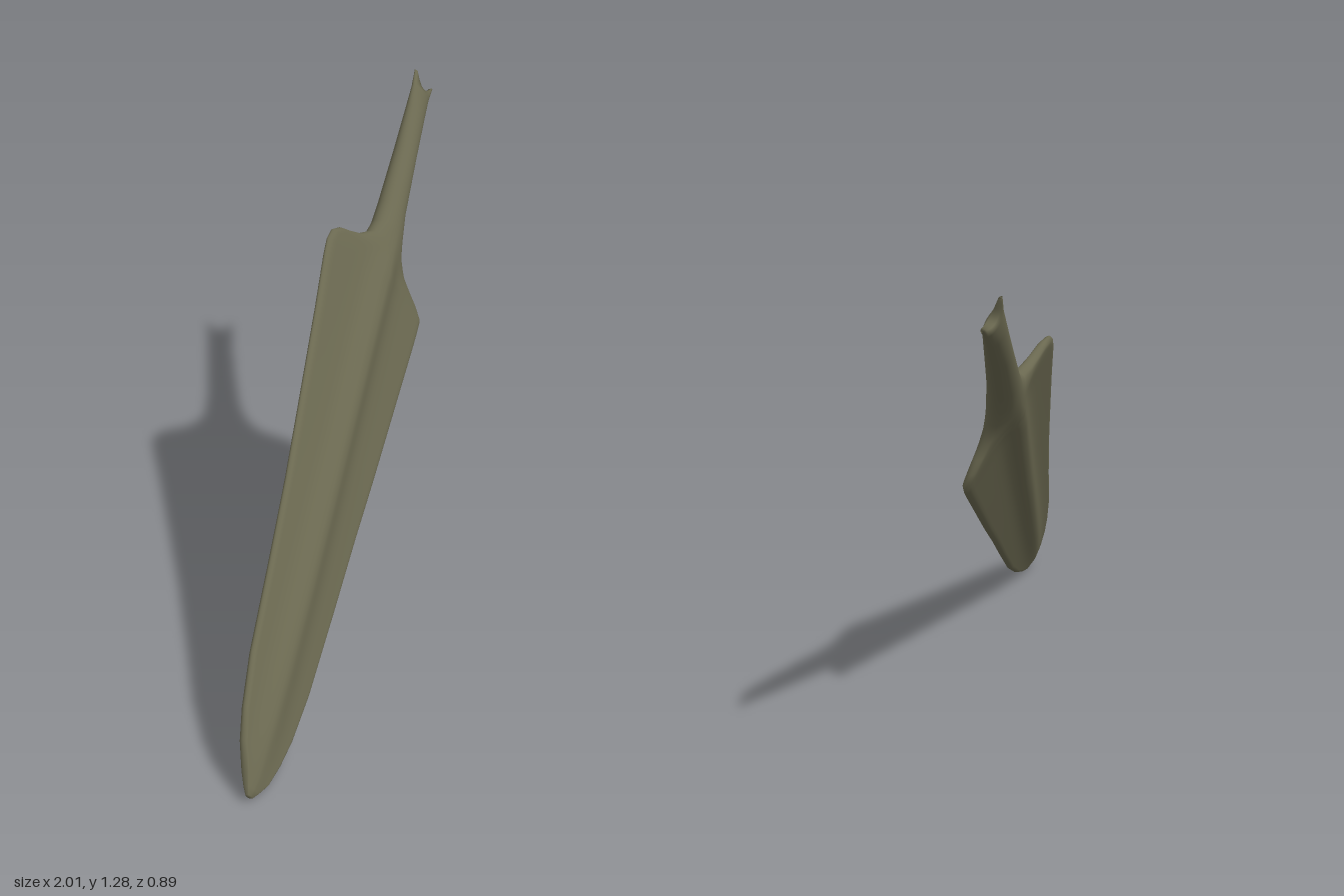
import * as THREE from 'three';

// Stations along the axis from the tip:
// [distance, upper half width, lower half width, half thickness, roundness (0 ribbed blade, 1 oval tang)]
const STATIONS = [
  [0, 0.010, 0.012, 0.008, 0.5],
  [0.02, 0.024, 0.030, 0.012, 0.3],
  [0.057, 0.044, 0.058, 0.017, 0],
  [0.125, 0.082, 0.088, 0.024, 0],
  [0.21, 0.108, 0.114, 0.030, 0],
  [0.36, 0.133, 0.140, 0.036, 0],
  [0.63, 0.151, 0.164, 0.041, 0],
  [0.88, 0.170, 0.184, 0.044, 0],
  [1.10, 0.193, 0.205, 0.046, 0],
  [1.43, 0.229, 0.232, 0.049, 0],
  [1.61, 0.252, 0.247, 0.051, 0],
  [1.66, 0.255, 0.250, 0.051, 0],
  [1.698, 0.246, 0.250, 0.051, 0.05],
  [1.726, 0.218, 0.212, 0.051, 0.1],
  [1.745, 0.175, 0.170, 0.050, 0.2],
  [1.768, 0.130, 0.124, 0.049, 0.4],
  [1.81, 0.084, 0.083, 0.047, 0.7],
  [1.87, 0.063, 0.061, 0.045, 1],
  [1.95, 0.055, 0.047, 0.042, 1],
  [2.17, 0.046, 0.038, 0.035, 1],
  [2.34, 0.045, 0.038, 0.026, 1],
  [2.42, 0.047, 0.041, 0.018, 1],
  [2.478, 0.055, 0.050, 0.010, 1],
];
const COLS = 32;
const EDGE = 0.011;

// Half thickness across a section, blending a ribbed blade into an oval
function thickness(u, w, ridge, round) {
  const rim = Math.sqrt(Math.max(0, 1 - u * u));
  const rib = 0.4 * (1 - Math.abs(u)) + 0.6 * Math.exp(-((w / 0.05) ** 2));
  const edge = Math.min(EDGE, ridge * 0.6);
  const blade = (edge + (ridge - edge) * rib) * Math.min(1, rim * 3);
  return THREE.MathUtils.lerp(blade, ridge * rim, round);
}

function spearGeometry() {
  const pos = [], index = [], ring = 2 * COLS, last = STATIONS.length - 1;
  STATIONS.forEach(([s, up, down, ridge, round], i) => {
    for (let j = 0; j < ring; j++) {
      const front = j <= COLS;
      const u = -Math.cos((Math.PI * (front ? j : ring - j)) / COLS);
      const w = (up - down) / 2 + (u * (up + down)) / 2;
      // broken notch between two prongs at the end of the tang
      const notch = i === last ? 0.042 * Math.max(0, 1 - (u / 0.85) ** 2) : 0;
      pos.push(s - notch, w, thickness(u, w, ridge, round) * (front ? 1 : -1));
      if (i < last) {
        const a = i * ring + j, c = i * ring + ((j + 1) % ring);
        index.push(a, a + ring, c, c, a + ring, c + ring);
      }
    }
  });
  // Close the tip and the tang end with strips between front and back
  for (const i of [0, last]) {
    const at = (j) => i * ring + (j % ring);
    for (let j = 0; j < COLS; j++) {
      const f0 = at(j), f1 = at(j + 1), b0 = at(ring - j), b1 = at(ring - j - 1);
      for (const t of [[b0, b1, f0], [b1, f1, f0]]) {
        if (new Set(t).size < 3) continue;
        index.push(...(i ? t : t.reverse()));
      }
    }
  }
  const geometry = new THREE.BufferGeometry();
  geometry.setAttribute('position', new THREE.Float32BufferAttribute(pos, 3));
  geometry.setIndex(index);
  geometry.computeVertexNormals();
  return geometry;
}

export function createModel() {
  const bronze = new THREE.MeshStandardMaterial({ color: 0x6a6850 });
  bronze.name = 'agedBronze';

  const spear = new THREE.Mesh(spearGeometry(), bronze);
  spear.name = 'spearheadBladeAndTang';

  // Lay the spearhead along its slanted axis, tip low at front right
  const axis = new THREE.Vector3(0.796, 0.493, -0.351).normalize();
  const face = new THREE.Vector3().crossVectors(axis, new THREE.Vector3(-0.605, 0.766, -0.222)).normalize();
  const across = new THREE.Vector3().crossVectors(face, axis);
  spear.quaternion.setFromRotationMatrix(new THREE.Matrix4().makeBasis(axis, across, face));
  spear.position.set(-0.995, 0.02, 0.43);

  const model = new THREE.Group();
  model.name = 'spearhead';
  model.add(spear);
  return model;
}
